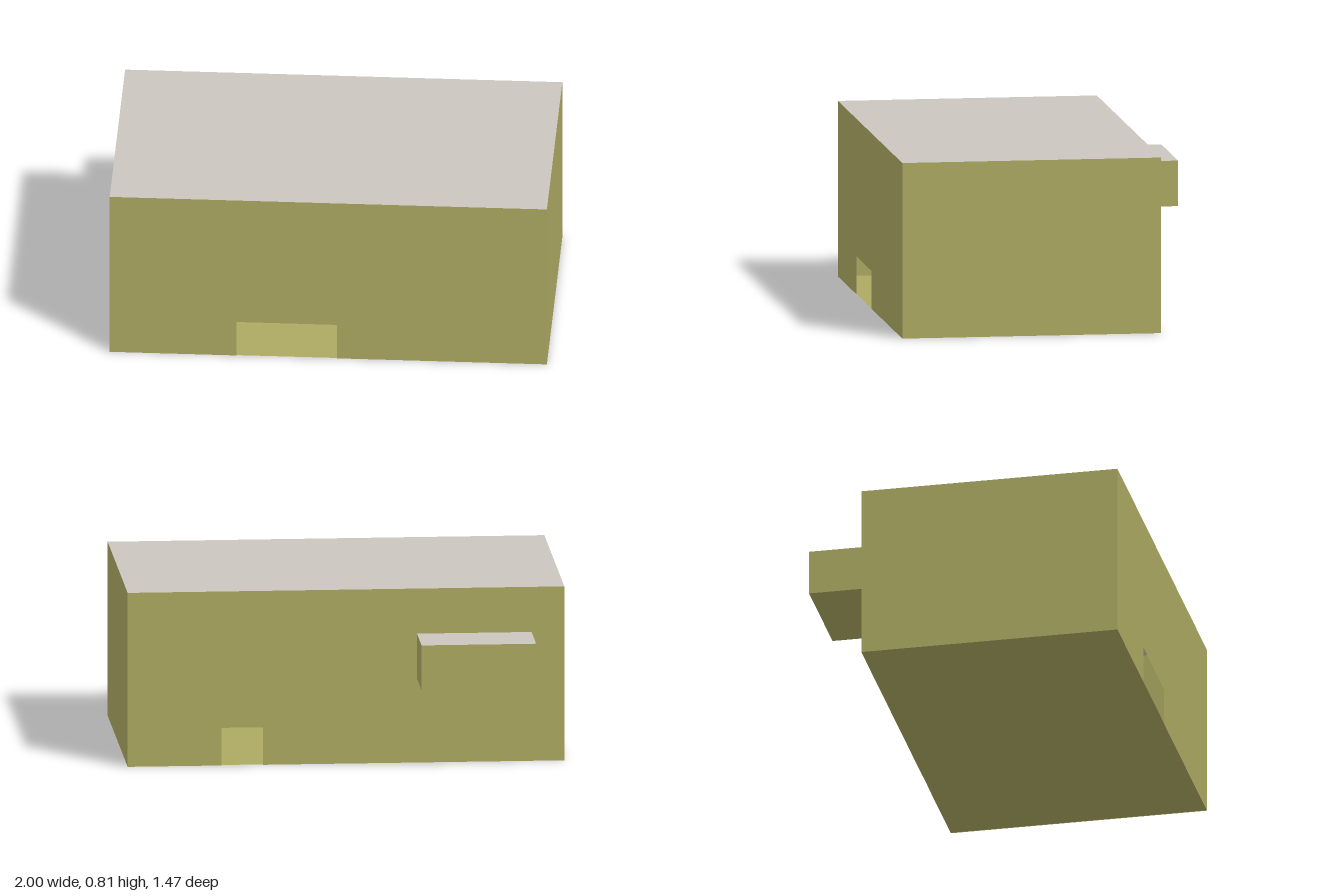
import * as THREE from 'three';

const W = 1, H = 0.81, FRONT = 0.735, BACK = -0.46; // main block
const DOOR_H = 0.175;

export function createModel() {
  const olive = new THREE.MeshStandardMaterial({ color: 0xaca962, side: THREE.DoubleSide });
  olive.name = 'olive wall';
  const grey = new THREE.MeshStandardMaterial({ color: 0xcac5bd, side: THREE.DoubleSide });
  grey.name = 'grey roof';

  const model = new THREE.Group();
  model.name = 'building';

  const add = (name, geometry, material, x = 0, y = 0, z = 0) => {
    const mesh = new THREE.Mesh(geometry, material);
    mesh.name = name;
    mesh.position.set(x, y, z);
    model.add(mesh);
    return mesh;
  };

  // Wall outline that steps around a doorway at ground level
  const doorWall = (x0, x1) => new THREE.ShapeGeometry(new THREE.Shape([
    [-W, 0], [x0, 0], [x0, DOOR_H], [x1, DOOR_H], [x1, 0], [W, 0], [W, H], [-W, H],
  ].map(([x, y]) => new THREE.Vector2(x, y))));

  const depth = FRONT - BACK, midZ = (FRONT + BACK) / 2;

  // Long walls with their openings
  add('frontWall', doorWall(-0.42, 0.04), olive, 0, 0, FRONT);
  add('backWall', doorWall(-0.57, -0.38), olive, 0, 0, BACK).rotation.y = Math.PI;

  // Short walls
  for (const side of [-1, 1]) {
    const wall = add(side > 0 ? 'leftWall' : 'rightWall',
      new THREE.PlaneGeometry(depth, H), olive, side * W, H / 2, midZ);
    wall.rotation.y = side * Math.PI / 2;
  }

  // Floor and flat roof of the hollow block
  add('floor', new THREE.PlaneGeometry(2 * W, depth).rotateX(Math.PI / 2), olive, 0, 0.002, midZ);
  add('roof', new THREE.PlaneGeometry(2 * W, depth).rotateX(-Math.PI / 2), grey, 0, H, midZ);

  // Inner partition behind the front opening
  add('partition', new THREE.BoxGeometry(0.075, H - 0.02, 0.58), olive, -0.3825, H / 2, BACK + 0.295);

  // Projecting bay on the back; its top face takes the roof colour
  const bayDepth = BACK + 0.735;
  add('backBay', new THREE.BoxGeometry(0.525, 0.21, bayDepth),
    [olive, olive, grey, olive, olive, olive], -0.5875, 0.495, BACK - bayDepth / 2);

  return model;
}
